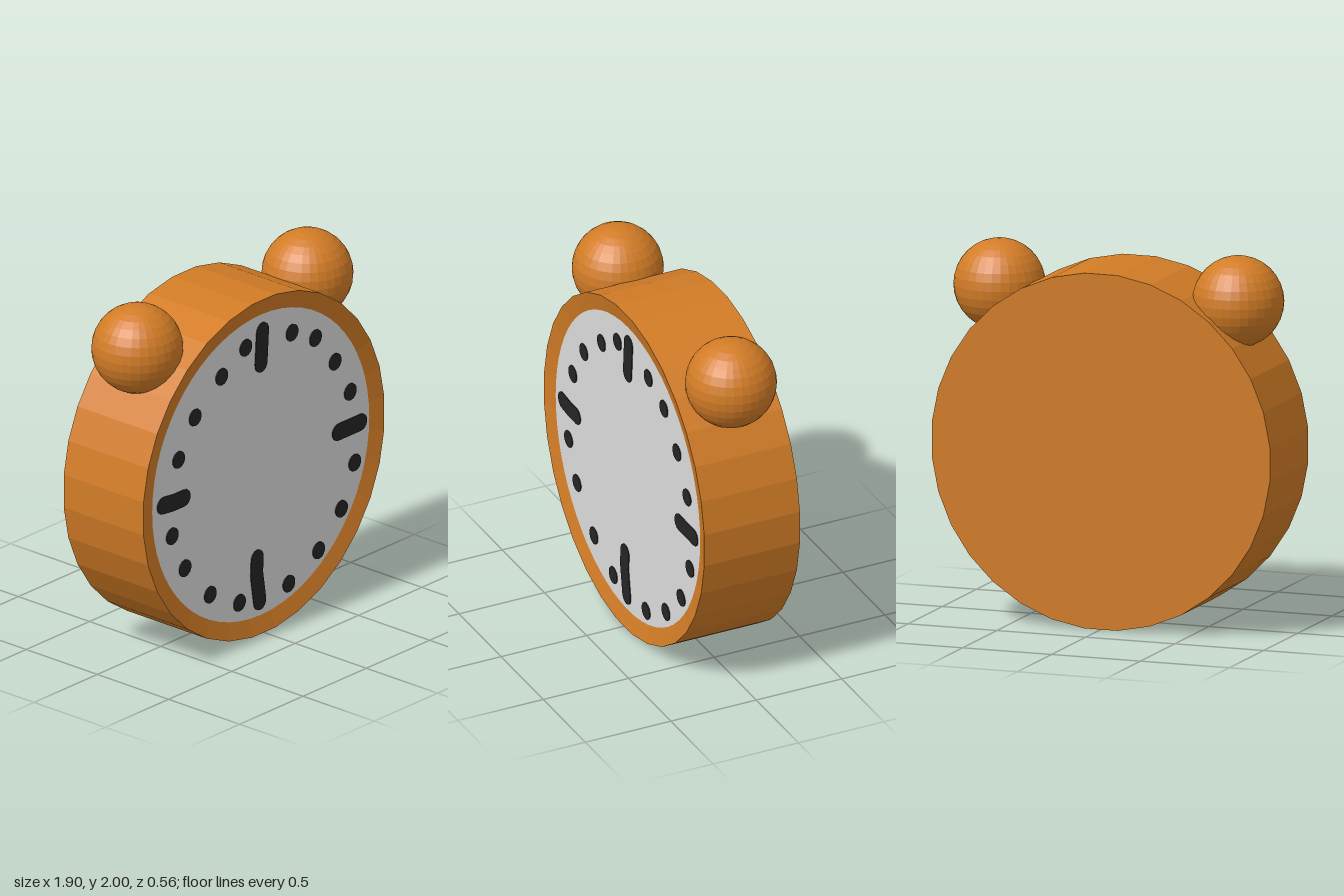
import * as THREE from 'three';

const orange = new THREE.MeshStandardMaterial({ color: 0xd27c26 });
orange.name = 'orange';
const paleGrey = new THREE.MeshStandardMaterial({ color: 0xdcdcdc });
paleGrey.name = 'paleGrey';
const black = new THREE.MeshStandardMaterial({ color: 0x252525 });
black.name = 'black';

const CENTRE_Y = 0.953;
const DIAL_Z = 0.258;
const MARK_R = 0.048;

// Faceted look: one normal per face
function faceted(geometry) {
  const g = geometry.toNonIndexed();
  g.computeVertexNormals();
  return g;
}

function add(parent, name, geometry, material, x, y, z) {
  const mesh = new THREE.Mesh(geometry, material);
  mesh.name = name;
  mesh.position.set(x, y, z);
  parent.add(mesh);
  return mesh;
}

// Rounded brush stroke through points, as thin plates on the dial
function stroke(parent, name, points) {
  const group = new THREE.Group();
  group.name = name;
  parent.add(group);
  const dot = new THREE.CylinderGeometry(MARK_R, MARK_R, 0.006, 14).rotateX(Math.PI / 2);
  points.forEach(([x, y], i) => {
    add(group, name + 'Dot', dot, black, x, y, DIAL_Z + 0.002);
    if (i === 0) return;
    const [px, py] = points[i - 1];
    const length = Math.hypot(x - px, y - py);
    const bar = add(group, name + 'Bar', new THREE.BoxGeometry(length, MARK_R * 2, 0.006), black,
      (x + px) / 2, (y + py) / 2, DIAL_Z + 0.002);
    bar.rotation.z = Math.atan2(y - py, x - px);
  });
}

export function createModel() {
  const clock = new THREE.Group();
  clock.name = 'alarmClock';

  // Drum case with a shallow bevel sloping in to the dial
  const profile = [[0, -0.28], [0.955, -0.28], [0.955, 0.28], [0.857, 0.255], [0, 0.255]]
    .map(([r, h]) => new THREE.Vector2(r, h));
  const caseGeometry = new THREE.LatheGeometry(profile, 32, Math.PI / 32).rotateX(Math.PI / 2);
  add(clock, 'case', faceted(caseGeometry), orange, 0, CENTRE_Y, 0);

  // Dial
  add(clock, 'dial', new THREE.CircleGeometry(0.857, 64), paleGrey, 0, CENTRE_Y, DIAL_Z);

  // Bells
  const bell = faceted(new THREE.SphereGeometry(0.242, 32, 16));
  add(clock, 'leftBell', bell, orange, 0.673, 1.758, -0.013);
  add(clock, 'rightBell', bell, orange, -0.67, 1.758, -0.013);

  // Long marks at the quarters
  stroke(clock, 'topMark', [[0.012, 1.715], [0, 1.53]]);
  stroke(clock, 'leftMark', [[0.61, 0.945], [0.787, 0.945]]);
  stroke(clock, 'bottomMark', [[-0.03, 0.43], [-0.035, 0.34], [-0.01, 0.177]]);
  stroke(clock, 'rightMark', [[-0.772, 0.967], [-0.69, 0.958], [-0.606, 0.958]]);

  // Hand-placed dots between them
  const dots = [
    [0.245, 1.63], [0.43, 1.54], [0.585, 1.355], [0.705, 1.145],
    [0.74, 0.73], [0.635, 0.5], [0.455, 0.32], [0.22, 0.205],
    [-0.17, 0.22], [-0.4, 0.34], [-0.6, 0.555], [-0.7, 0.77],
    [-0.65, 1.19], [-0.52, 1.39], [-0.31, 1.555], [-0.12, 1.66],
  ];
  dots.forEach((p) => stroke(clock, 'minuteMark', [p]));

  return clock;
}
